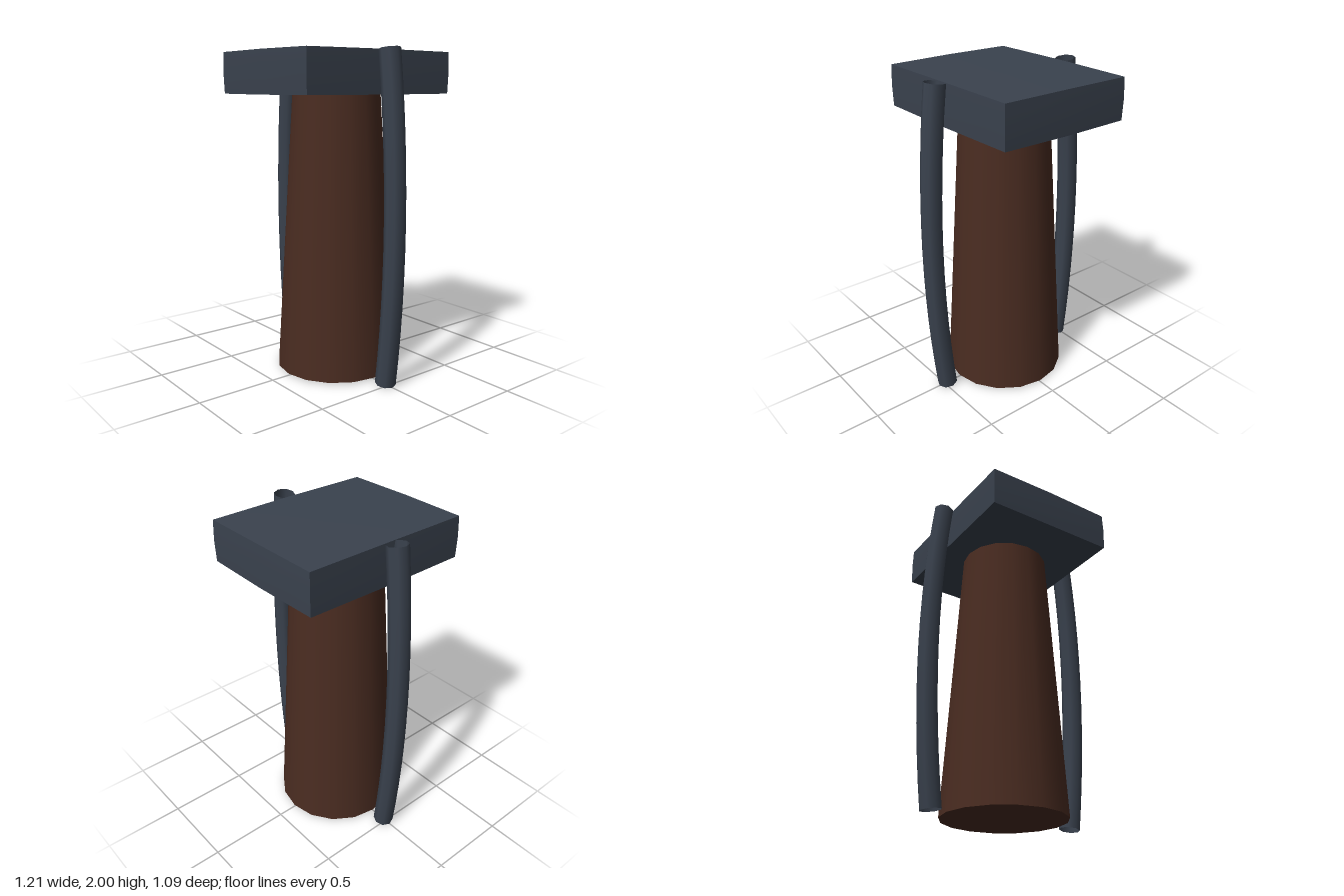
import * as THREE from 'three';

export function createModel() {
  const group = new THREE.Group();
  const slate = new THREE.MeshStandardMaterial({ color: 0x3a424e, side: THREE.DoubleSide });
  slate.name = 'slate';
  const brown = new THREE.MeshStandardMaterial({ color: 0x4a2c21 });
  brown.name = 'dark brown';

  const add = (name, geometry, material) => {
    const mesh = new THREE.Mesh(geometry, material);
    mesh.name = name;
    group.add(mesh);
    return mesh;
  };

  // Tapered handle, running up into the head
  const handle = add('handle', new THREE.CylinderGeometry(0.266, 0.38, 1.85, 16), brown);
  handle.position.y = 0.01 + 1.85 / 2;

  // Block head whose faces swell slightly towards their middles
  const half = [0.425, 0.125, 0.536];
  const swell = [0.003, 0.0025, 0.004];
  const headGeometry = new THREE.BoxGeometry(2, 2, 2, 2, 2, 2);
  const pos = headGeometry.attributes.position;
  for (let i = 0; i < pos.count; i++) {
    const u = [pos.getX(i), pos.getY(i), pos.getZ(i)];
    const p = u.map((c, a) => {
      const rest = u.reduce((sum, d, b) => (b === a ? sum : sum + 1 - d * d), 0);
      return c * (half[a] + swell[a] * rest);
    });
    pos.setXYZ(i, ...p);
  }
  headGeometry.computeVertexNormals();
  add('head', headGeometry, slate).position.y = 1.861;

  // Open bowed tubes on both sides
  for (const [name, s] of [['leftTube', 1], ['rightTube', -1]]) {
    const path = new THREE.QuadraticBezierCurve3(
      new THREE.Vector3(s * 0.477, 0.008, 0),
      new THREE.Vector3(s * 0.603, 1, 0),
      new THREE.Vector3(s * 0.477, 1.992, 0)
    );
    add(name, new THREE.TubeGeometry(path, 12, 0.0635, 8, false), slate);
  }
  return group;
}
